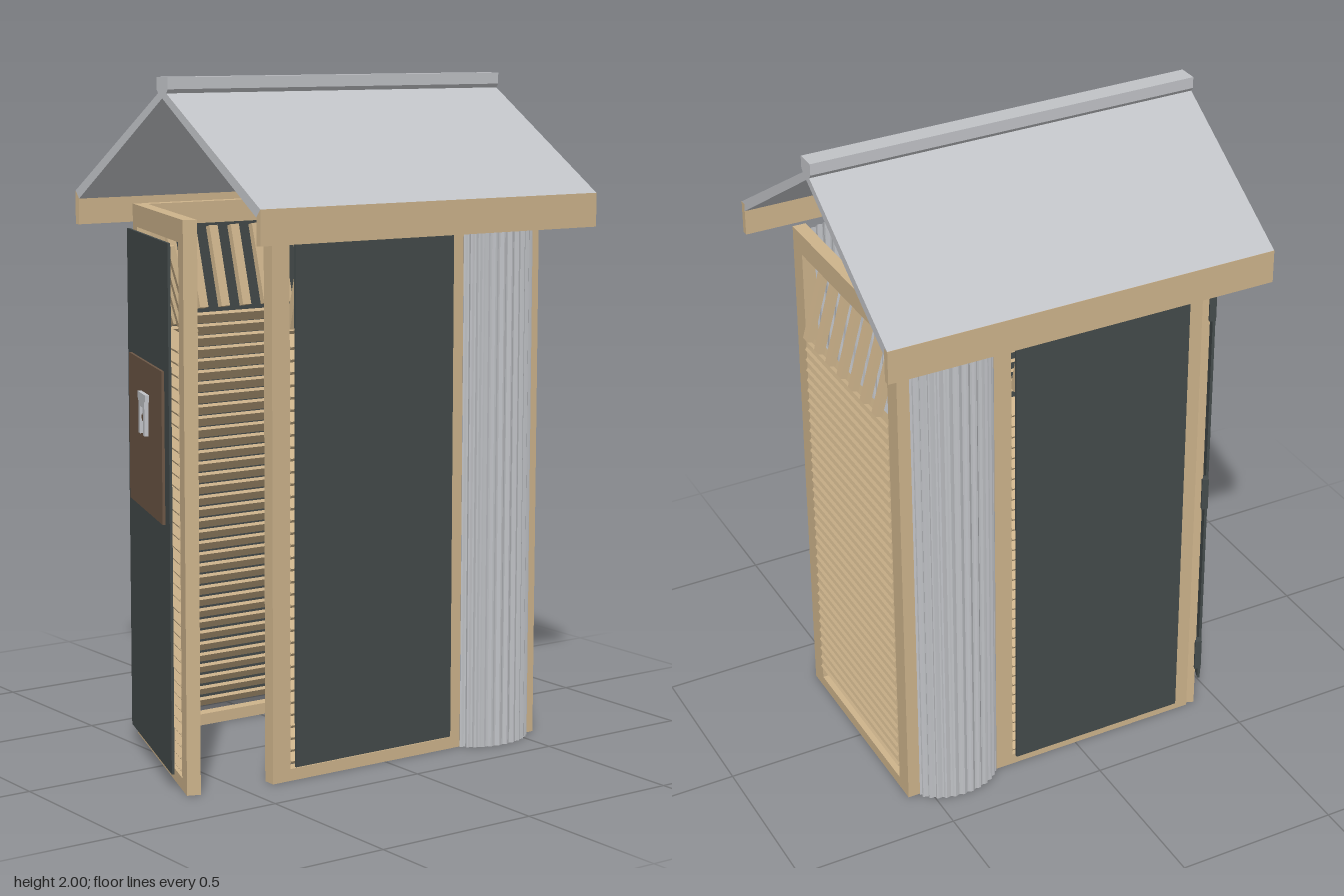
import * as THREE from 'three';

const material = (name, color, side = THREE.FrontSide) => {
  const m = new THREE.MeshStandardMaterial({ color, side });
  m.name = name;
  return m;
};

export function createModel() {
  const wood = material('pale wood', 0xcdb38b);
  const slate = material('dark slate', 0x434a4a);
  const brown = material('brown board', 0x6b5645);
  const metal = material('light grey metal', 0xc0c2c6);
  const sheet = material('corrugated sheet', 0xc0c2c6, THREE.DoubleSide);
  sheet.flatShading = true;

  const model = new THREE.Group();
  model.name = 'outdoorBooth';

  const box = (parent, name, mat, size, pos) => {
    const mesh = new THREE.Mesh(new THREE.BoxGeometry(...size), mat);
    mesh.name = name;
    mesh.position.set(...pos);
    parent.add(mesh);
    return mesh;
  };

  // Extrudes an outline of [x, y] points along z, starting at z
  const extrude = (parent, name, mat, points, z, depth) => {
    const shape = new THREE.Shape(points.map(([x, y]) => new THREE.Vector2(x, y)));
    const mesh = new THREE.Mesh(new THREE.ExtrudeGeometry(shape, { depth, bevelEnabled: false }), mat);
    mesh.name = name;
    mesh.position.z = z;
    parent.add(mesh);
    return mesh;
  };

  // Louvred wall panel: centred on x, back at z = 0, outside facing +z
  const W = 0.68, H = 1.62, T = 0.04, STILE = 0.06;
  const louvredPanel = (name, hasCover) => {
    const g = new THREE.Group();
    g.name = name;
    const inner = W - 2 * STILE;
    for (const s of [-1, 1]) {
      box(g, 'stile', wood, [STILE, H, T], [s * (W - STILE) / 2, H / 2, T / 2]);
    }
    box(g, 'topRail', wood, [inner, 0.065, T], [0, H - 0.0325, T / 2]);
    box(g, 'bottomRail', wood, [inner, 0.035, T], [0, 0.0175, T / 2]);
    // Horizontal slats, outer edge lower
    const rows = 35;
    for (let i = 0; i < rows; i++) {
      const slat = box(g, 'slat', wood, [inner, 0.01, 0.055], [0, 0.07 + i * 1.195 / (rows - 1), T / 2]);
      slat.rotation.x = 0.6;
    }
    // Leaning vent boards
    for (let i = 0; i < 7; i++) {
      const board = box(g, 'ventBoard', wood, [0.03, 0.25, 0.02], [(i - 3) * 0.078, 1.42, T / 2]);
      board.rotation.x = 0.27;
    }
    if (hasCover) box(g, 'coverSheet', slate, [0.56, 1.505, 0.008], [0, 0.8, 0.066]);
    model.add(g);
    return g;
  };

  // Fixed walls
  const back = louvredPanel('backWall', false);
  back.position.z = -0.57;
  for (const s of [-1, 1]) {
    const side = louvredPanel(s > 0 ? 'leftWall' : 'rightWall', true);
    side.rotation.y = s * Math.PI / 2;
    side.position.set(s * 0.305, 0, 0.06);
  }

  // Door, standing ajar on its hinge
  const doorAngle = THREE.MathUtils.degToRad(20);
  const door = louvredPanel('door', true);
  door.rotation.y = -doorAngle;
  door.position.set(-0.33 + Math.cos(doorAngle) * W / 2, 0, 0.39 + Math.sin(doorAngle) * W / 2);
  box(door, 'doorBoard', brown, [0.455, 0.435, 0.008], [-0.005, 0.973, 0.074]);
  extrude(door, 'doorHandle', metal, [
    [-0.055, 1.1], [-0.055, 1.08], [-0.042, 1.08], [-0.042, 0.98], [-0.02, 0.98], [-0.02, 1.06],
    [0.02, 1.06], [0.02, 0.98], [0.042, 0.98], [0.042, 1.08], [0.055, 1.08], [0.055, 1.1],
  ], 0.078, 0.012);
  const knob = new THREE.Mesh(new THREE.CylinderGeometry(0.011, 0.011, 0.01, 12), brown);
  knob.name = 'latchKnob';
  knob.rotation.x = Math.PI / 2;
  knob.position.set(0, 1.03, 0.082);
  door.add(knob);
  for (const y of [0.19, 0.79, 1.44]) {
    box(door, 'hinge', slate, [0.024, 0.105, 0.02], [-W / 2 + 0.002, y, T + 0.006]);
  }

  // Bulging corrugated sheets closing the back corners
  for (const s of [-1, 1]) {
    const n = 60, waves = 12, h = 1.575;
    const geo = new THREE.PlaneGeometry(1, h, n, 1);
    const p = geo.attributes.position;
    for (let i = 0; i < p.count; i++) {
      const t = p.getX(i) + 0.5;
      const a = (t - 0.5) * Math.PI * 0.8;
      const r = 0.134 + 0.005 * Math.sin(t * waves * Math.PI * 2);
      const x = 0.345 + (Math.cos(a) * r - 0.041) * 0.62;
      p.setXYZ(i, s * x, p.getY(i) + h / 2, -0.407 - Math.sin(a) * r);
    }
    geo.computeVertexNormals();
    const corner = new THREE.Mesh(geo, sheet);
    corner.name = s > 0 ? 'leftCornerSheet' : 'rightCornerSheet';
    model.add(corner);
  }

  // Seat box with lid
  box(model, 'seatBox', metal, [0.264, 0.33, 0.355], [0, 0.165, -0.325]);
  box(model, 'seatLid', metal, [0.3, 0.03, 0.38], [0, 0.345, -0.32]);

  // Gable roof: two slopes, eave boards and ridge cap
  const roofBack = -0.663, roofLength = 1.2;
  for (const s of [-1, 1]) {
    const outline = [[0, 1.968], [0, 1.94], [0.47, 1.632], [0.49, 1.655]].map(([x, y]) => [s * x, y]);
    extrude(model, 'roofSlope', metal, outline, roofBack, roofLength);
    box(model, 'eaveBoard', wood, [0.02, 0.1, roofLength], [s * 0.481, 1.605, roofBack + roofLength / 2]);
  }
  extrude(model, 'ridgeCap', metal, [
    [-0.03, 2], [-0.03, 1.966], [-0.018, 1.95], [0.018, 1.95], [0.03, 1.966], [0.03, 2],
  ], roofBack, roofLength);

  return model;
}
